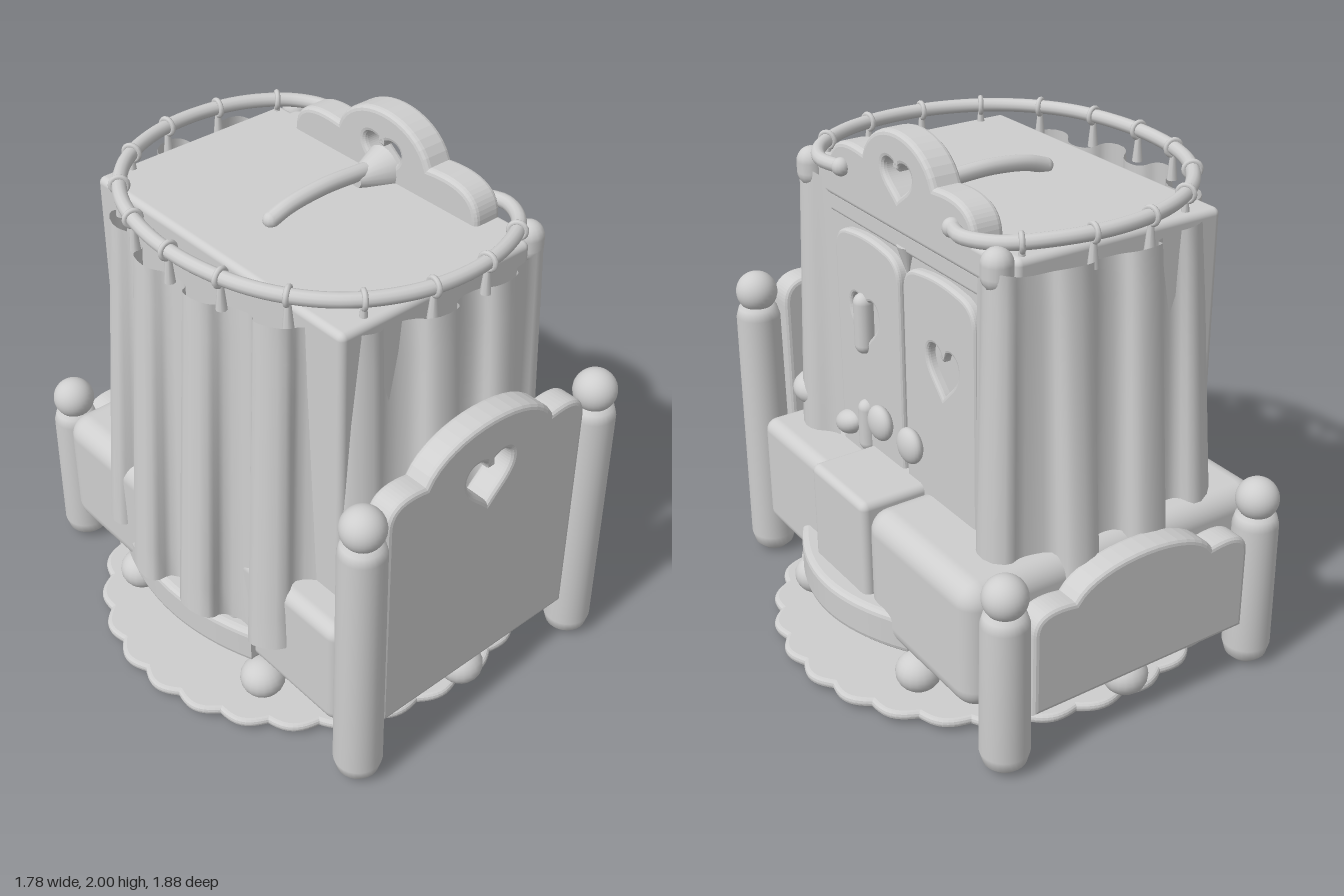
import * as THREE from 'three';
import { RoundedBoxGeometry } from 'three/addons/geometries/RoundedBoxGeometry.js';

const V = (x, y, z) => new THREE.Vector3(x, y, z);

// Heart outline centred on x, from its tip at y up to y + h
function heart(x, y, w, h) {
  const p = new THREE.Path();
  p.moveTo(x, y);
  p.bezierCurveTo(x - w * 0.4, y + h * 0.25, x - w, y + h * 0.45, x - w, y + h * 0.75);
  p.bezierCurveTo(x - w, y + h * 1.1, x - w * 0.15, y + h * 1.1, x, y + h * 0.75);
  p.bezierCurveTo(x + w * 0.15, y + h * 1.1, x + w, y + h * 1.1, x + w, y + h * 0.75);
  p.bezierCurveTo(x + w, y + h * 0.45, x + w * 0.4, y + h * 0.25, x, y);
  return p;
}

// Board with rounded shoulders and a central hump
function humpShape(w, bottom, shoulder, notch, top, drop) {
  const s = new THREE.Shape();
  const lift = shoulder + (top - shoulder) / 0.75;
  s.moveTo(-w, bottom);
  s.lineTo(w, bottom);
  s.lineTo(w, shoulder - drop);
  s.quadraticCurveTo(w, shoulder + 0.03, notch, shoulder);
  s.bezierCurveTo(notch * 0.7, lift, -notch * 0.7, lift, -notch, shoulder);
  s.quadraticCurveTo(-w, shoulder + 0.03, -w, shoulder - drop);
  s.closePath();
  return s;
}

// Extrusion centred on its own depth, with a soft rim
function slab(shape, depth, bevel) {
  const g = new THREE.ExtrudeGeometry(shape, {
    depth: depth - 2 * bevel, bevelThickness: bevel, bevelSize: bevel,
    bevelOffset: -bevel, bevelSegments: 3, curveSegments: 16,
  });
  return g.translate(0, 0, bevel - depth / 2);
}

// Smooth path through points on the +z side, one middle point, and their mirror
function mirroredPath(half, middle) {
  const other = half.slice().reverse().map(([x, y, z]) => [x, y, -z]);
  return new THREE.CatmullRomCurve3([...half, middle, ...other].map(p => V(...p)));
}

export function createModel() {
  const model = new THREE.Group();
  const grey = new THREE.MeshStandardMaterial({ color: 0xcecece, side: THREE.DoubleSide });
  grey.name = 'plain grey';
  const add = (name, geo, x = 0, y = 0, z = 0) => {
    const m = new THREE.Mesh(geo, grey);
    m.name = name;
    m.position.set(x, y, z);
    model.add(m);
    return m;
  };
  const box = (name, x0, x1, y0, y1, z0, z1, r) =>
    add(name, new RoundedBoxGeometry(x1 - x0, y1 - y0, z1 - z0, 4, r),
      (x0 + x1) / 2, (y0 + y1) / 2, (z0 + z1) / 2);

  // Scalloped rug
  const rim = [];
  for (let i = 0; i < 280; i++) {
    const a = (i / 280) * Math.PI * 2;
    const r = 0.865 + 0.03 * Math.abs(Math.sin(a * 14));
    rim.push(new THREE.Vector2(Math.cos(a) * r, Math.sin(a) * r * 0.93));
  }
  add('rug', slab(new THREE.Shape(rim), 0.036, 0.016).rotateX(-Math.PI / 2), 0, 0.036, 0);

  // Bed posts with ball tops
  for (const [z, h] of [[0.85, 1.11], [-0.85, 0.64]]) {
    for (const x of [-0.55, 0.55]) {
      const profile = [[0, 0], [0.05, 0.008], [0.078, 0.035], [0.09, 0.08], [0.085, h - 0.05],
        [0.075, h - 0.015], [0.05, h], [0, h]].map(p => new THREE.Vector2(...p));
      add('bedPost', new THREE.LatheGeometry(profile, 28), x, 0, z);
      add('postBall', new THREE.SphereGeometry(0.08, 28, 18), x, h + 0.05, z);
    }
  }

  // Headboard with heart cut-out, and footboard
  const head = humpShape(0.47, 0.2, 1.2, 0.3, 1.33, 0.1);
  head.holes.push(heart(0, 0.97, 0.105, 0.19));
  add('headboard', slab(head, 0.11, 0.02), 0, 0, 0.825);
  add('footboard', slab(humpShape(0.47, 0.2, 0.6, 0.3, 0.7, 0.08), 0.11, 0.02), 0, 0, -0.85);

  // Mattress, blanket, folded flap and underside
  box('mattress', -0.6, 0.6, 0.19, 0.65, -0.75, 0.78, 0.05);
  box('blanket', -0.65, 0.65, 0.19, 0.69, -0.78, -0.1, 0.085);
  box('blanketFlap', -0.62, 0.665, 0.25, 0.71, -0.13, 0.25, 0.03);
  box('bedBase', -0.5, 0.5, 0.12, 0.22, -0.7, 0.7, 0.03);

  // Curved steps along both sides
  for (const [side, reach] of [[1, 0.74], [-1, 0.7]]) {
    const s = new THREE.Shape();
    s.moveTo(0.5, 0.44);
    s.lineTo(0.62, 0.44);
    s.quadraticCurveTo(2 * reach - 0.62, 0.05, 0.62, -0.34);
    s.lineTo(0.5, -0.34);
    s.closePath();
    const g = slab(s, 0.15, 0.025).rotateX(Math.PI / 2);
    if (side < 0) g.rotateY(Math.PI);
    add('sideStep', g, 0, 0.255, 0);
  }

  // Bun feet
  for (const [x, z] of [[0, 0.81], [0.38, 0.62], [0.6, 0.38]]) {
    for (const sx of x ? [-1, 1] : [1]) for (const sz of [-1, 1]) {
      add('bunFoot', new THREE.SphereGeometry(0.085, 20, 14), x * sx, 0.13, z * sz).scale.y = 0.9;
    }
  }

  // Wardrobe body, cornice and lintel
  box('wardrobeBody', -0.47, 0.37, 0.3, 1.75, -0.65, 0.65, 0.025);
  box('cornice', 0.3, 0.41, 1.64, 1.75, -0.58, 0.58, 0.02);
  box('lintel', 0.34, 0.395, 1.57, 1.65, -0.58, 0.58, 0.015);

  // Doors with shallow heart recesses and round knobs
  for (const s of [-1, 1]) {
    const d = new THREE.Shape();
    d.moveTo(-0.225, 0.5);
    d.lineTo(0.225, 0.5);
    d.lineTo(0.225, 1.44);
    d.quadraticCurveTo(0.225, 1.53, 0.12, 1.54);
    d.quadraticCurveTo(0, 1.56, -0.12, 1.54);
    d.quadraticCurveTo(-0.225, 1.53, -0.225, 1.44);
    d.closePath();
    d.holes.push(heart(-0.025 * s, 1.12, 0.095, 0.18));
    add('door', slab(d, 0.05, 0.015).rotateY(Math.PI / 2), 0.38, 0, s * 0.237);
    add('doorKnob', new THREE.SphereGeometry(0.068, 24, 16), 0.445, 0.875, s * 0.103).scale.x = 0.55;
  }
  add('doorPeak', new THREE.ConeGeometry(0.04, 0.12, 16).rotateX(Math.PI), 0.37, 1.53, 0);

  // Pegs on the door and small cushions beside the wardrobe
  add('doorPeg', new THREE.CapsuleGeometry(0.038, 0.165, 8, 16), 0.4, 1.2, 0.275);
  add('lowerPeg', new THREE.CapsuleGeometry(0.036, 0.14, 8, 16), 0.4, 0.78, 0.275);
  const cushion = add('cushion', new THREE.SphereGeometry(0.1, 24, 16), 0.4, 0.78, 0.665);
  cushion.scale.set(1, 0.7, 1);
  const small = add('smallCushion', new THREE.SphereGeometry(0.075, 20, 14), 0.4, 0.735, 0.41);
  small.scale.set(0.7, 0.65, 1.05);
  small.rotation.x = 0.4;

  // Crest with heart cut-out
  const crest = humpShape(0.47, 1.7, 1.87, 0.23, 2.0, 0.12);
  crest.holes.push(heart(0, 1.765, 0.09, 0.125));
  add('crest', slab(crest, 0.12, 0.02).rotateY(Math.PI / 2), 0.35, 0, 0);

  // Spout arching over the wardrobe top
  const spout = new THREE.CatmullRomCurve3(
    [V(0.3, 1.79, 0), V(0.16, 1.8, 0), V(0.02, 1.805, 0), V(-0.13, 1.79, 0), V(-0.21, 1.765, 0)]);
  add('spout', new THREE.TubeGeometry(spout, 24, 0.03, 12));
  add('spoutTip', new THREE.SphereGeometry(0.03, 12, 10), -0.21, 1.765, 0);
  add('spoutCollar', new THREE.CylinderGeometry(0.03, 0.085, 0.13, 20).rotateZ(Math.PI / 2), 0.235, 1.775, 0);

  // Curtain rail, open toward the doors
  const rail = mirroredPath([[0.42, 1.78, 0.36], [0.445, 1.785, 0.46], [0.38, 1.79, 0.58],
    [0.22, 1.8, 0.67], [0.02, 1.805, 0.705], [-0.2, 1.81, 0.675], [-0.41, 1.815, 0.56],
    [-0.57, 1.82, 0.34]], [-0.635, 1.82, 0]);
  add('curtainRail', new THREE.TubeGeometry(rail, 120, 0.026, 12));
  for (const s of [-1, 1]) {
    add('railEnd', new THREE.SphereGeometry(0.034, 14, 10), 0.42, 1.78, s * 0.36);
    // Bunched cloth at the front corners
    add('curtainGather', new THREE.CapsuleGeometry(0.055, 0.04, 6, 14), 0.41, 1.715, s * 0.6);
  }

  // Hooks along the rail
  const hooks = 13;
  for (let i = 0; i < hooks; i++) {
    const t = 0.055 + 0.89 * (i + 0.5) / hooks;
    const p = rail.getPointAt(t), dir = rail.getTangentAt(t);
    const ring = add('curtainRing', new THREE.TorusGeometry(0.029, 0.01, 8, 16), p.x, p.y, p.z);
    ring.lookAt(p.clone().add(dir));
    add('curtainHook', new THREE.CylinderGeometry(0.01, 0.02, 0.1, 8), p.x, p.y - 0.07, p.z);
  }

  // Pleated curtain, wrapped round the wardrobe's front corners and flaring toward its hem
  const top = mirroredPath([[0.41, 1.72, 0.475], [0.43, 1.72, 0.55], [0.42, 1.72, 0.64],
    [0.34, 1.72, 0.69], [0.2, 1.72, 0.7], [0.02, 1.72, 0.71], [-0.2, 1.72, 0.69],
    [-0.41, 1.72, 0.59], [-0.57, 1.72, 0.35]], [-0.635, 1.72, 0]);
  const folds = 12, cols = folds * 14, rows = 10, pos = [], index = [];
  for (let i = 0; i <= cols; i++) {
    const u = i / cols;
    const p = top.getPointAt(u), dir = top.getTangentAt(u);
    const out = V(-dir.z, 0, dir.x).normalize();
    if (out.x * (p.x + 0.1) + out.z * p.z < 0) out.negate();
    const phase = (u * folds - 0.5) * Math.PI * 2;
    const wave = Math.cos(phase);
    // Folds are narrow at the wall and full outside
    const pinch = 0.028 * Math.sin(phase * 2);
    const edge = Math.min(1, 0.25 + Math.min(u, 1 - u) * 6);
    const sag = 0.012 * (1 - wave);
    for (let j = 0; j <= rows; j++) {
      const v = j / rows;
      const off = edge * (0.075 * v + wave * (0.035 + 0.025 * v));
      const along = edge * pinch * (0.5 + 0.5 * v);
      pos.push(p.x + out.x * off + dir.x * along,
        1.72 - sag - v * (1.33 + 0.02 * Math.sin(i * 0.3)),
        p.z + out.z * off + dir.z * along);
      if (i < cols && j < rows) {
        const a = i * (rows + 1) + j, b = a + rows + 1;
        index.push(a, a + 1, b, b, a + 1, b + 1);
      }
    }
  }
  const curtain = new THREE.BufferGeometry();
  curtain.setAttribute('position', new THREE.Float32BufferAttribute(pos, 3));
  curtain.setIndex(index);
  curtain.computeVertexNormals();
  add('curtain', curtain);

  return model;
}
